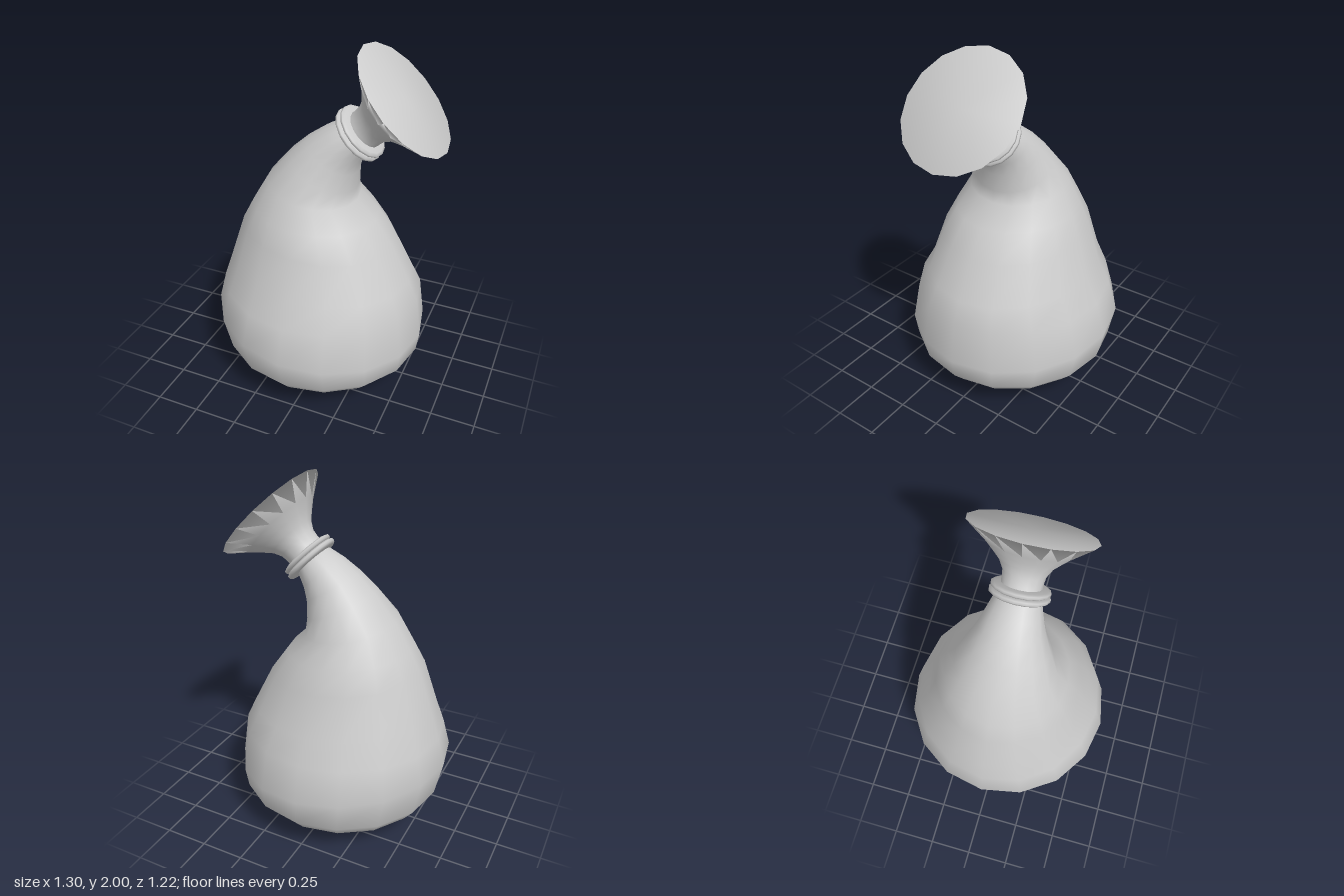
import * as THREE from 'three';

const SIDES = 16;
const material = new THREE.MeshStandardMaterial({ color: 0xcccccc });

// Smooth skin over tilted elliptical rings: [leftX, leftY, rightX, rightY, halfDepth]
function loft(rings) {
  const positions = [], index = [];
  for (const [lx, ly, rx, ry, depth] of rings) {
    for (let j = 0; j < SIDES; j++) {
      const a = (j / SIDES) * Math.PI * 2;
      const c = Math.cos(a) / 2;
      positions.push((lx + rx) / 2 + (rx - lx) * c, (ly + ry) / 2 + (ry - ly) * c, depth * Math.sin(a));
    }
  }
  for (let i = 0; i < rings.length - 1; i++) {
    for (let j = 0; j < SIDES; j++) {
      const k = (j + 1) % SIDES;
      const a = i * SIDES + j, b = i * SIDES + k;
      const c = a + SIDES, d = b + SIDES;
      index.push(a, c, b, b, c, d);
    }
  }
  // close the underside with a fan
  const pole = positions.length / 3;
  positions.push((rings[0][0] + rings[0][2]) / 2, 0, 0);
  for (let j = 0; j < SIDES; j++) index.push(pole, j, (j + 1) % SIDES);

  const geometry = new THREE.BufferGeometry();
  geometry.setAttribute('position', new THREE.Float32BufferAttribute(positions, 3));
  geometry.setIndex(index);
  geometry.computeVertexNormals();
  return geometry;
}

function lathe(name, profile) {
  const points = profile.map(([r, s]) => new THREE.Vector2(r, s));
  const mesh = new THREE.Mesh(new THREE.LatheGeometry(points, SIDES), material);
  mesh.name = name;
  return mesh;
}

export function createModel() {
  const model = new THREE.Group();
  model.name = 'flask';

  // Rounded body that leans over into a bent neck
  const body = new THREE.Mesh(loft([
    [-0.22, 0.01, 0.18, 0.01, 0.19],
    [-0.35, 0.04, 0.29, 0.035, 0.30],
    [-0.46, 0.09, 0.41, 0.08, 0.41],
    [-0.54, 0.145, 0.50, 0.14, 0.51],
    [-0.605, 0.23, 0.57, 0.22, 0.58],
    [-0.65, 0.44, 0.585, 0.33, 0.61],
    [-0.61, 0.60, 0.555, 0.57, 0.555],
    [-0.565, 0.74, 0.50, 0.69, 0.48],
    [-0.48, 0.99, 0.39, 0.90, 0.41],
    [-0.42, 1.10, 0.29, 1.04, 0.35],
    [-0.33, 1.25, 0.18, 1.15, 0.285],
    [-0.20, 1.40, 0.175, 1.22, 0.225],
    [-0.10, 1.49, 0.18, 1.32, 0.18],
    [0.00, 1.56, 0.195, 1.38, 0.15],
    [0.08, 1.60, 0.225, 1.44, 0.125],
    [0.13, 1.61, 0.26, 1.49, 0.10],
  ]), material);
  body.name = 'body';
  model.add(body);

  // Collar and mouth share the tilted axis of the neck
  const head = new THREE.Group();
  head.name = 'head';
  head.position.set(0.185, 1.54, 0);
  head.rotation.z = -Math.atan2(0.73, 0.68);
  head.add(
    lathe('lowerCollar', [[0.1, -0.03], [0.145, -0.028], [0.16, -0.018], [0.16, -0.005], [0.145, 0.005], [0.1, 0.008]]),
    lathe('upperCollar', [[0.1, 0.002], [0.14, 0.004], [0.156, 0.014], [0.156, 0.026], [0.14, 0.034], [0.1, 0.038]]),
    // Trumpet-shaped mouth with a flat, softly shaded closing disc
    lathe('mouth', [[0.11, 0], [0.107, 0.05], [0.112, 0.1], [0.138, 0.148], [0.18, 0.19],
      [0.225, 0.232], [0.336, 0.319], [0, 0.319]]),
  );
  model.add(head);
  return model;
}
